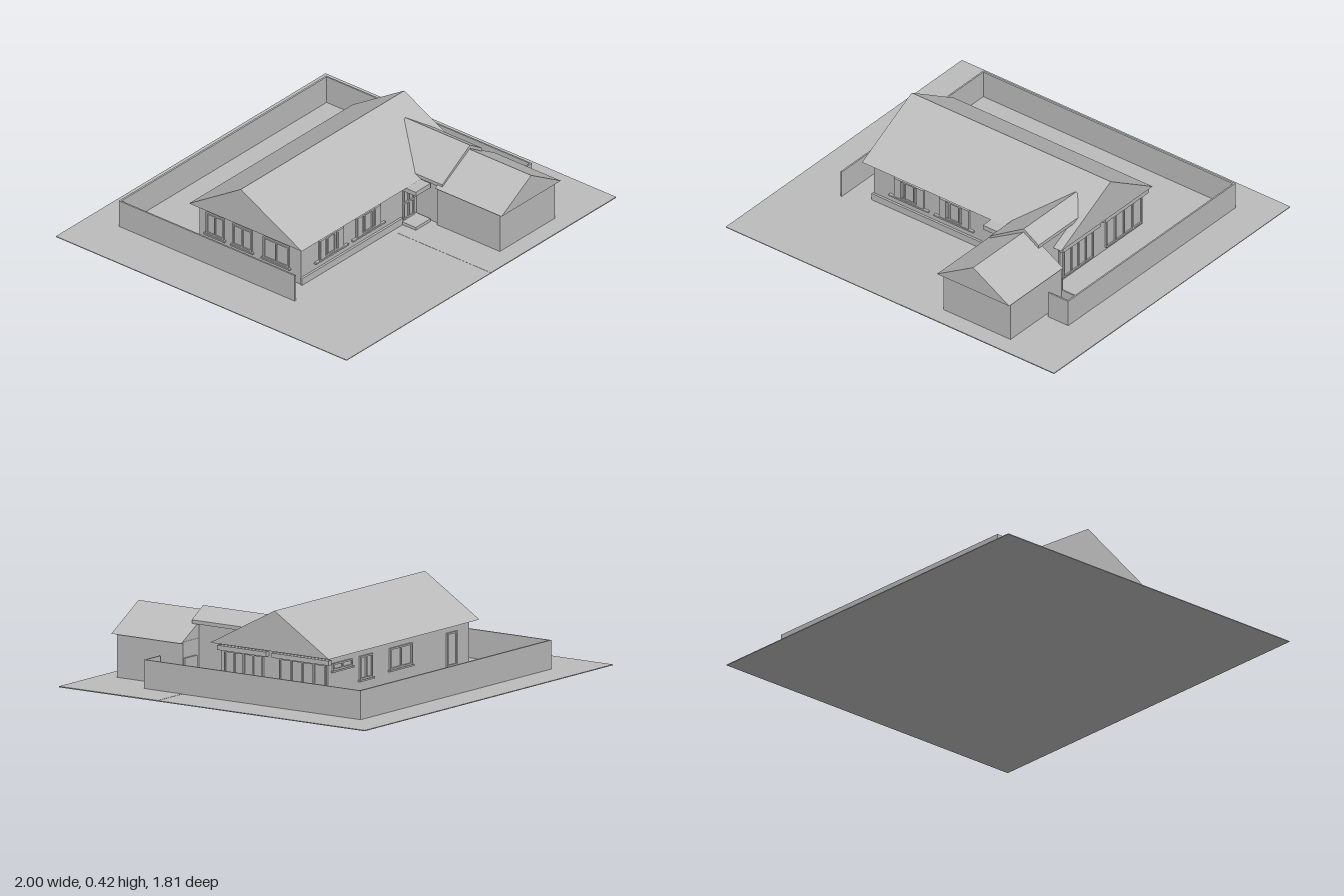
import * as THREE from 'three';

const grey = new THREE.MeshStandardMaterial({ color: 0xbcbcbc });
grey.name = 'plain grey';

// Box given by its limits on each axis
function box(parent, name, x0, x1, y0, y1, z0, z1) {
  const mesh = new THREE.Mesh(new THREE.BoxGeometry(x1 - x0, y1 - y0, z1 - z0), grey);
  mesh.position.set((x0 + x1) / 2, (y0 + y1) / 2, (z0 + z1) / 2);
  mesh.name = name;
  parent.add(mesh);
  return mesh;
}

// Solid roof: an outline pushed out along z
function prism(parent, name, points, z0, z1) {
  const shape = new THREE.Shape(points.map(([x, y]) => new THREE.Vector2(x, y)));
  const geo = new THREE.ExtrudeGeometry(shape, { depth: z1 - z0, bevelEnabled: false });
  geo.translate(0, 0, z0);
  const mesh = new THREE.Mesh(geo, grey);
  mesh.name = name;
  parent.add(mesh);
  return mesh;
}

// Framed opening, built facing +z around its base centre, then turned
function opening(parent, name, { x, z, turn = 0, width, y0, y1, panes = 1, sill = 0 }) {
  const g = new THREE.Group();
  g.name = name;
  const h = width / 2, t = 0.008;
  box(g, 'pane', -h, h, y0, y1, 0, 0.002);
  box(g, 'headRail', -h, h, y1 - t, y1, 0, 0.009);
  box(g, 'bottomRail', -h, h, y0, y0 + t, 0, 0.009);
  for (let i = 0; i <= panes; i++) {
    const c = -h + t / 2 + (i / panes) * (width - t);
    box(g, 'post', c - t / 2, c + t / 2, y0, y1, 0, 0.009);
  }
  if (sill) box(g, 'sill', -h - sill, h + sill, y0 - 0.008, y0, 0, 0.014);
  g.position.set(x, 0, z);
  g.rotation.y = turn;
  parent.add(g);
}

export function createModel() {
  const model = new THREE.Group();
  model.name = 'bungalow';

  // Plot, driveway and side patio
  box(model, 'ground', -1, 1, 0, 0.004, -0.905, 0.905);
  box(model, 'driveway', 0.07, 1, 0.004, 0.005, 0.32, 0.905);
  box(model, 'patio', 0.54, 0.795, 0.004, 0.007, -0.37, 0.41);

  // Boundary walls
  const fence = new THREE.Group();
  fence.name = 'boundaryWalls';
  model.add(fence);
  box(fence, 'backWall', -0.735, 0.802, 0, 0.145, -0.735, -0.725);
  box(fence, 'rightSideWall', -0.735, -0.727, 0, 0.145, -0.725, 0.36);
  box(fence, 'leftSideWall', 0.794, 0.802, 0, 0.145, -0.725, 0.547);
  box(fence, 'frontReturnWall', 0.68, 0.794, 0, 0.145, 0.539, 0.547);
  box(fence, 'innerReturnWall', 0.56, 0.66, 0, 0.145, 0.408, 0.418);
  box(fence, 'gateWall', 0.66, 0.794, 0, 0.08, 0.408, 0.416);

  // Main house
  const house = new THREE.Group();
  house.name = 'mainHouse';
  model.add(house);
  box(house, 'walls', -0.595, 0.54, 0, 0.222, -0.35, 0.28);
  box(house, 'frontPlinth', -0.6, 0.15, 0, 0.04, 0.28, 0.292);
  const roof = prism(house, 'mainRoof', [[-0.32, 0.219], [0.382, 0.219], [0.06, 0.418]], -0.635, 0.578);
  roof.rotation.y = Math.PI / 2;
  roof.scale.x = 1;

  // Front windows
  for (const x of [-0.375, -0.1]) {
    opening(house, 'frontWindow', { x, z: 0.28, width: 0.18, y0: 0.08, y1: 0.185, panes: 3, sill: 0.03 });
    for (const s of [-1, 1]) box(house, 'windowPier', x + s * 0.066 - 0.018, x + s * 0.066 + 0.018, 0.08, 0.185, 0.28, 0.291);
  }

  // Back windows and doors
  for (const [x, width, y0, y1, panes] of [
    [0.43, 0.16, 0.15, 0.185, 2], [0.24, 0.1, 0.07, 0.185, 2],
    [-0.04, 0.18, 0.08, 0.185, 2], [-0.45, 0.08, 0.02, 0.185, 1],
  ]) opening(house, 'backOpening', { x, z: -0.35, turn: Math.PI, width, y0, y1, panes, sill: 0.008 });

  // Windows in the right gable wall
  for (const [z, width] of [[-0.25, 0.11], [-0.08, 0.12], [0.13, 0.16]]) {
    opening(house, 'rightWindow', { x: -0.595, z, turn: -Math.PI / 2, width, y0: 0.07, y1: 0.185, panes: 2, sill: 0.01 });
  }

  // Glazed doors with hoods in the left gable wall
  for (const [z0, z1] of [[0.0, 0.29], [-0.37, -0.035]]) {
    const mid = (z0 + z1) / 2;
    opening(house, 'patioDoors', { x: 0.54, z: mid, turn: Math.PI / 2, width: z1 - z0 - 0.06, y0: 0.02, y1: 0.185, panes: 4 });
    box(house, 'doorHood', 0.54, 0.565, 0.185, 0.208, z0, z1);
  }

  // Entrance with step and canopy
  const porch = new THREE.Group();
  porch.name = 'entrance';
  model.add(porch);
  box(porch, 'step', 0.145, 0.255, 0, 0.02, 0.28, 0.375);
  box(porch, 'canopy', 0.145, 0.255, 0.192, 0.215, 0.28, 0.375);
  opening(porch, 'frontDoor', { x: 0.2, z: 0.28, width: 0.08, y0: 0.02, y1: 0.185, panes: 2 });
  box(porch, 'doorMidRail', 0.16, 0.24, 0.105, 0.115, 0.28, 0.29);

  // Cross wing with uneven roof slopes
  const wing = new THREE.Group();
  wing.name = 'crossWing';
  model.add(wing);
  box(wing, 'wingWalls', 0.265, 0.53, 0, 0.225, 0.2, 0.43);
  prism(wing, 'wingGable', [[0.265, 0.22], [0.53, 0.22], [0.53, 0.305], [0.455, 0.35], [0.265, 0.232]], 0.06, 0.43);
  prism(wing, 'wingRoof', [[0.25, 0.22], [0.455, 0.347], [0.546, 0.291], [0.546, 0.309], [0.455, 0.366], [0.25, 0.238]], 0.05, 0.452);

  // Garage
  const garage = new THREE.Group();
  garage.name = 'garage';
  model.add(garage);
  box(garage, 'garageWalls', 0.25, 0.66, 0, 0.222, 0.42, 0.81);
  prism(garage, 'garageRoof', [[0.232, 0.216], [0.672, 0.216], [0.452, 0.345]], 0.422, 0.836);

  return model;
}
